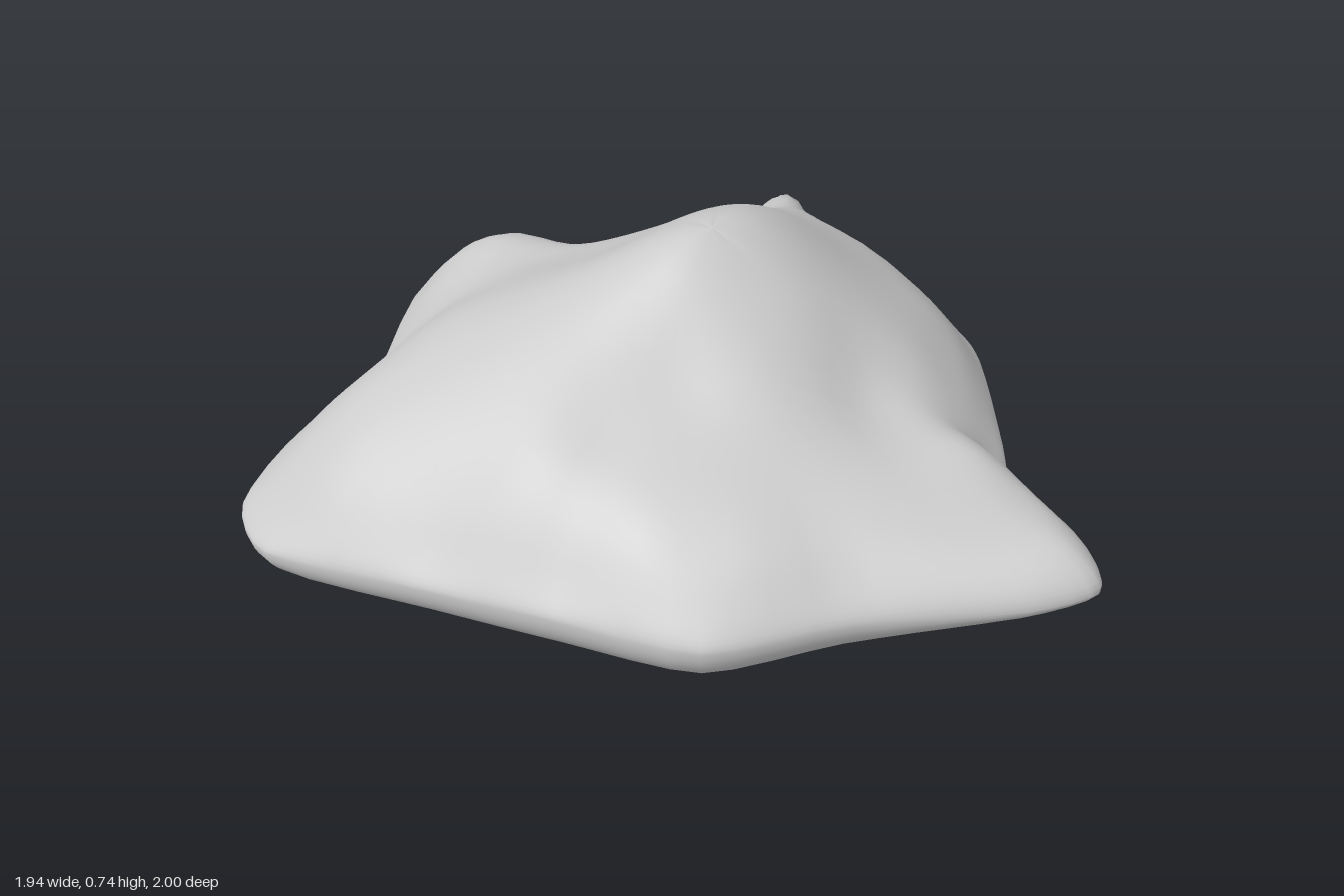
import * as THREE from 'three';

// Outline counted round from the front spur: x, z, rim height, underside height
const OUTLINE = [
  [0, 1, 0.21, 0.16], [0.1, 0.91, 0.2, 0.14], [0.2, 0.67, 0.19, 0.08], [0.36, 0.54, 0.18, 0.05],
  [0.64, 0.3, 0.18, 0.03], [0.71, 0.19, 0.19, 0.015], [0.75, -0.06, 0.19, 0], [0.79, -0.22, 0.17, 0],
  [0.9, -0.4, 0.13, 0.02], [0.97, -0.56, 0.12, 0.04], [0.86, -0.6, 0.13, 0.05], [0.66, -0.56, 0.17, 0.05],
  [0.41, -0.545, 0.2, 0.05], [0.24, -0.7, 0.23, 0.06], [0.16, -0.86, 0.24, 0.1], [-0.04, -1, 0.24, 0.13],
  [-0.39, -0.82, 0.21, 0.09], [-0.66, -0.81, 0.18, 0.07], [-0.89, -0.73, 0.16, 0.07], [-0.97, -0.56, 0.15, 0.045],
  [-0.87, -0.2, 0.17, 0.05], [-0.77, 0.12, 0.18, 0.05], [-0.66, 0.44, 0.18, 0.06], [-0.4, 0.64, 0.19, 0.08],
  [-0.14, 0.91, 0.2, 0.14],
];
// Heights of the upper side: x, z, y
const RIDGES = [
  [-0.12, -0.04, 0.74], [-0.03, -0.05, 0.755], [0.08, -0.03, 0.745], // summit
  [0.23, -0.04, 0.68], [0.46, -0.15, 0.54], [0.64, -0.23, 0.42], [0.82, -0.38, 0.27], // left ridge
  [-0.25, -0.12, 0.675], [-0.43, -0.22, 0.585], [-0.65, -0.38, 0.455], [-0.8, -0.5, 0.34], // right ridge
  [-0.05, -0.3, 0.62], [-0.05, -0.57, 0.49], [-0.05, -0.8, 0.45], // back ridge
  [0, 0.15, 0.65], [0, 0.26, 0.55], [0, 0.34, 0.455], [0, 0.48, 0.395], [0, 0.67, 0.36], [0, 0.85, 0.31], // spur
];
const SLOPES = [
  [0.3, 0.13, 0.56], [0.45, 0.1, 0.48], [0.6, 0, 0.41], [0.52, 0.25, 0.36], // left face
  [0.25, 0.38, 0.42], [0.13, 0.62, 0.345], // beside the spur
  [-0.3, 0.35, 0.43], [-0.25, 0.55, 0.36], [-0.45, 0.42, 0.36],
  [-0.3, 0.1, 0.53], [-0.5, 0.05, 0.46], [-0.65, 0, 0.4], [-0.6, 0.22, 0.37], [-0.72, -0.25, 0.38], // right shoulder
  [-0.4, -0.6, 0.46], [-0.65, -0.6, 0.4], [0.15, -0.3, 0.6], [0.18, -0.5, 0.46], // back
  [0.35, -0.4, 0.46], [0.6, -0.42, 0.36], [0.1, -0.75, 0.42],
];
const CENTRE = new THREE.Vector3(-0.03, 0, -0.03);
const AROUND = 100, RINGS = 24;

const kernel = (x, z, p) => Math.sqrt((x - p[0]) ** 2 + (z - p[1]) ** 2 + 0.006);

// Smooth height function through all the given points
function heightField(points) {
  const n = points.length;
  const m = points.map(p => [...points.map(q => kernel(p[0], p[1], q)), p[2]]);
  for (let c = 0; c < n; c++) {
    let pivot = c;
    for (let r = c + 1; r < n; r++) if (Math.abs(m[r][c]) > Math.abs(m[pivot][c])) pivot = r;
    [m[c], m[pivot]] = [m[pivot], m[c]];
    for (let r = 0; r < n; r++) {
      if (r === c) continue;
      const f = m[r][c] / m[c][c];
      for (let k = c; k <= n; k++) m[r][k] -= f * m[c][k];
    }
  }
  const weights = m.map((row, i) => row[n] / row[i]);
  return (x, z) => points.reduce((sum, p, i) => sum + weights[i] * kernel(x, z, p), 0);
}

// Quarter-round falloff: 1 inside, 0 at the rim
const round = (t, start) => Math.sqrt(Math.max(0, 1 - Math.max(0, (t - start) / (1 - start)) ** 2));

function boulderGeometry() {
  const { lerp } = THREE.MathUtils;
  const edge = OUTLINE.map(([x, z, rim]) => [lerp(CENTRE.x, x, 0.93), lerp(CENTRE.z, z, 0.93), rim + 0.09]);
  const height = heightField([...RIDGES, ...SLOPES, ...edge]);
  const loop = k => new THREE.CatmullRomCurve3(
    OUTLINE.map(o => new THREE.Vector3(o[0], o[k], o[1])), true, 'catmullrom', 0.35);
  const rims = loop(2).getPoints(AROUND), unders = loop(3).getPoints(AROUND);

  // rings run from the summit out to the rim, then back under to the centre
  const positions = [], index = [];
  for (let j = 0; j <= 2 * RINGS; j++) {
    const t = Math.sin(j / RINGS * Math.PI / 2);
    for (let i = 0; i < AROUND; i++) {
      const rim = rims[i];
      const x = lerp(CENTRE.x, rim.x, t), z = lerp(CENTRE.z, rim.z, t);
      const y = j <= RINGS
        ? lerp(rim.y, height(x, z), round(t, 0.85))
        : lerp(rim.y, lerp(0.03, unders[i].y, t * t), round(t, 0.8));
      positions.push(x, Math.max(y, 0), z);
    }
  }
  for (let j = 0; j < 2 * RINGS; j++) {
    for (let i = 0; i < AROUND; i++) {
      const n = (i + 1) % AROUND, a = j * AROUND, b = a + AROUND;
      if (j < 2 * RINGS - 1) index.push(a + i, b + i, b + n);
      if (j > 0) index.push(a + i, b + n, a + n);
    }
  }
  // close the underside
  const last = (2 * RINGS - 1) * AROUND;
  for (let i = 0; i < AROUND; i++) index.push(last + i, last + AROUND, last + (i + 1) % AROUND);
  const g = new THREE.BufferGeometry();
  g.setAttribute('position', new THREE.Float32BufferAttribute(positions, 3));
  g.setIndex(index);
  g.computeVertexNormals();
  return g;
}

export function createModel() {
  const group = new THREE.Group();
  group.name = 'rock';
  const boulder = new THREE.Mesh(boulderGeometry(), new THREE.MeshStandardMaterial({ color: 0xcccccc }));
  boulder.name = 'boulder';
  group.add(boulder);
  return group;
}
